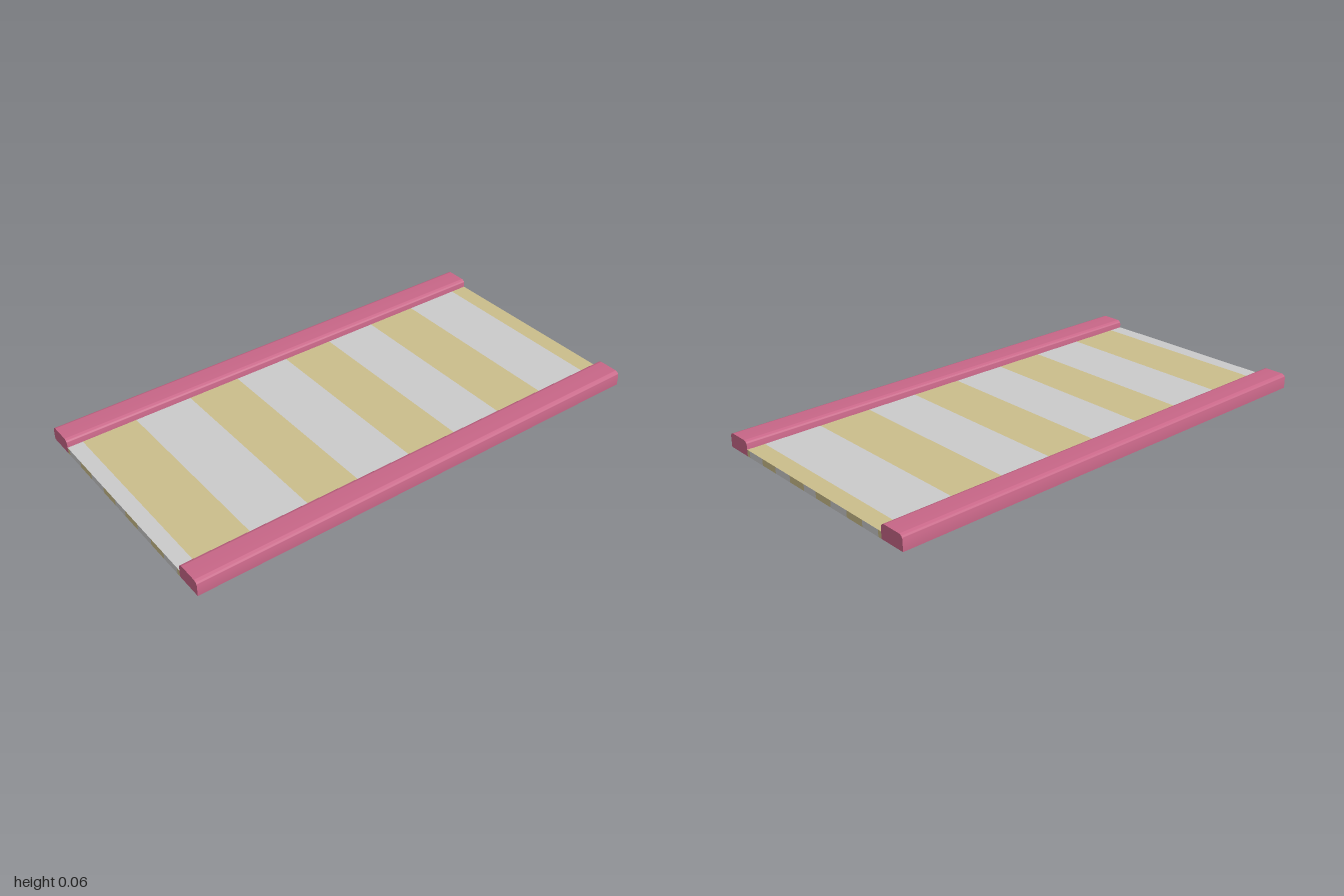
import * as THREE from 'three';
import { toCreasedNormals } from 'three/addons/utils/BufferGeometryUtils.js';

const LENGTH = 2, INNER = 0.413, OUTER = 0.526, RAIL_H = 0.06, DECK_H = 0.027;

const mat = (name, color) => {
  const m = new THREE.MeshStandardMaterial({ color });
  m.name = name;
  return m;
};

export function createModel() {
  const pink = mat('pink', 0xc76687);
  const gray = mat('lightGray', 0xcacaca);
  const gold = mat('sandGold', 0xcabd8b);
  const model = new THREE.Group();
  model.name = 'stripedTrack';

  // A striped face: cuts are the stripe borders, colours alternate from the first
  const stripedFace = (name, cuts, first, second, makeStrip) => {
    const group = new THREE.Group();
    group.name = name;
    for (let i = 0; i < cuts.length - 1; i++) {
      const a = cuts[i], b = cuts[i + 1];
      const strip = new THREE.Mesh(makeStrip(b - a, (a + b) / 2), i % 2 ? second : first);
      strip.name = name + 'Stripe';
      group.add(strip);
    }
    model.add(group);
  };

  // Deck top, and underside with the stripes reversed end to end
  const cuts = [-1, -0.926, -0.682, -0.454, -0.226, -0.001, 0.24, 0.464, 0.708, 0.937, 1];
  stripedFace('deckTop', cuts, gold, gray, (size, mid) =>
    new THREE.PlaneGeometry(INNER * 2, size).rotateX(-Math.PI / 2).translate(0, DECK_H, mid));
  stripedFace('deckUnderside', cuts.map(z => -z).reverse(), gray, gold, (size, mid) =>
    new THREE.PlaneGeometry(INNER * 2, size).rotateX(Math.PI / 2).translate(0, 0, mid));

  // Deck ends, striped across the width
  const half = [0.037, 0.126, 0.22, 0.308, 0.396, INNER];
  const endCuts = [...half.map(x => -x).reverse(), ...half];
  for (const [name, turn] of [['deckFrontEnd', 0], ['deckBackEnd', Math.PI]]) {
    stripedFace(name, endCuts, gold, gray, (size, mid) =>
      new THREE.PlaneGeometry(size, DECK_H).translate(mid, DECK_H / 2, LENGTH / 2).rotateY(turn));
  }

  // Side rails with rounded upper edges
  const w = (OUTER - INNER) / 2, r = 0.018;
  const profile = new THREE.Shape();
  profile.moveTo(-w, 0);
  profile.lineTo(w, 0);
  profile.lineTo(w, RAIL_H - r);
  profile.absarc(w - r, RAIL_H - r, r, 0, Math.PI / 2, false);
  profile.lineTo(-w + r, RAIL_H);
  profile.absarc(-w + r, RAIL_H - r, r, Math.PI / 2, Math.PI, false);
  profile.lineTo(-w, 0);
  const railGeo = toCreasedNormals(
    new THREE.ExtrudeGeometry(profile, { depth: LENGTH, bevelEnabled: false, curveSegments: 6 })
      .translate(0, 0, -LENGTH / 2), 0.6);
  for (const [name, side] of [['leftRail', 1], ['rightRail', -1]]) {
    const rail = new THREE.Mesh(railGeo, pink);
    rail.name = name;
    rail.position.x = side * (INNER + OUTER) / 2;
    model.add(rail);
  }
  return model;
}
